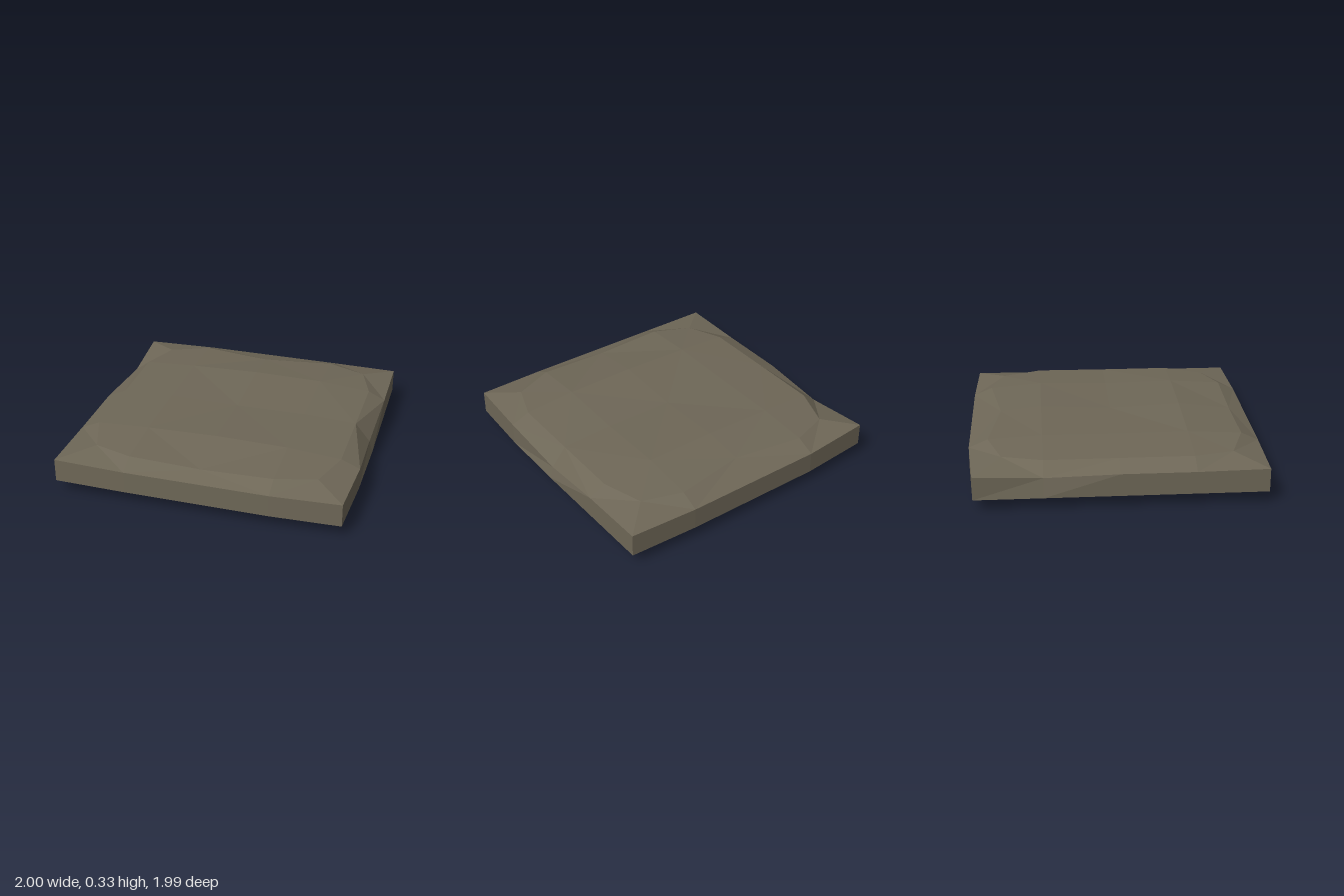
import * as THREE from 'three';

// Rim outline seen from above, clockwise from the back-left corner: x, z
const RIM = [
  [-1, -0.96], [-0.5, -1], [0, -1], [0.5, -1],
  [0.98, -0.98], [0.99, -0.5], [1, 0], [1, 0.5],
  [0.98, 0.97], [0.5, 0.99], [0, 0.99], [-0.5, 0.99],
  [-1, 0.98], [-1, 0.5], [-1, 0], [-1, -0.5],
];

// Heights of the 5 x 5 worn faces, rows from back to front
const TOP = [
  [0.285, 0.295, 0.3, 0.295, 0.29],
  [0.295, 0.315, 0.33, 0.325, 0.295],
  [0.295, 0.312, 0.305, 0.31, 0.292],
  [0.295, 0.315, 0.328, 0.32, 0.292],
  [0.28, 0.295, 0.28, 0.295, 0.28],
];
const BOTTOM = [
  [0.03, 0.027, 0.025, 0.027, 0.03],
  [0.027, 0.003, 0, 0.003, 0.027],
  [0.025, 0, 0, 0, 0.025],
  [0.027, 0.003, 0, 0.003, 0.027],
  [0.03, 0.027, 0.025, 0.027, 0.03],
];

// Grid cell of the k-th point on the border of the 5 x 5 face
function border(k) {
  const side = Math.floor((k % 16) / 4), s = k % 4;
  return [[s, 0], [4, s], [4 - s, 4], [0, 4 - s]][side];
}

// Plan position of a grid point, with the corners pulled in
function plan(i, j) {
  if (i % 4 === 0 && j % 4 === 0) return [i ? 0.775 : -0.775, j ? 0.77 : -0.775];
  const steps = [-0.87, -0.5, 0, 0.5, 0.87];
  return [steps[i], steps[j]];
}

// A face: 5 x 5 grid plus a sloping band out to the rim
function faceGeometry(heights, rim, up) {
  const pos = [];
  const tri = (a, b, c) => pos.push(...a, ...(up ? b : c), ...(up ? c : b));
  const grid = (i, j) => {
    const [x, z] = plan(i, j);
    const chipped = up && i === 2 && j === 0;
    return [x, heights[j][i], chipped ? -0.79 : z];
  };
  for (let j = 0; j < 4; j++) {
    for (let i = 0; i < 4; i++) {
      const a = grid(i, j), b = grid(i + 1, j), c = grid(i + 1, j + 1), d = grid(i, j + 1);
      if ((i + j) % 2 === 0) { tri(a, d, c); tri(a, c, b); }
      else { tri(a, d, b); tri(b, d, c); }
    }
  }
  for (let k = 0; k < 16; k++) {
    const o0 = rim[k], o1 = rim[(k + 1) % 16];
    const i0 = grid(...border(k)), i1 = grid(...border(k + 1));
    if (k % 2 === 0) { tri(o0, i0, o1); tri(o1, i0, i1); }
    else { tri(o0, i0, i1); tri(o0, i1, o1); }
  }
  return toGeometry(pos);
}

// The upright edge between both rims
function wallGeometry(top, bottom) {
  const pos = [];
  for (let k = 0; k < 16; k++) {
    const n = (k + 1) % 16;
    pos.push(...top[k], ...top[n], ...bottom[n], ...top[k], ...bottom[n], ...bottom[k]);
  }
  return toGeometry(pos);
}

function toGeometry(pos) {
  const g = new THREE.BufferGeometry();
  g.setAttribute('position', new THREE.Float32BufferAttribute(pos, 3));
  g.computeVertexNormals();
  return g;
}

export function createModel() {
  const stone = new THREE.MeshStandardMaterial({ color: 0x6e6757, flatShading: true });
  stone.name = 'stone';

  // Upper rim has two chips: right middle and left back
  const topRim = RIM.map(([x, z], k) => {
    if (k === 6) return [0.975, 0.165, z];
    if (k === 15) return [-0.975, 0.215, z];
    return [x, k % 4 === 0 ? 0.245 : 0.238, z];
  });
  const bottomRim = RIM.map(([x, z]) => [x, 0.083, z]);

  const slab = new THREE.Group();
  slab.name = 'stoneSlab';
  const add = (name, geometry) => {
    const mesh = new THREE.Mesh(geometry, stone);
    mesh.name = name;
    slab.add(mesh);
  };
  add('wornTop', faceGeometry(TOP, topRim, true));
  add('edgeWall', wallGeometry(topRim, bottomRim));
  add('underside', faceGeometry(BOTTOM, bottomRim, false));
  return slab;
}
